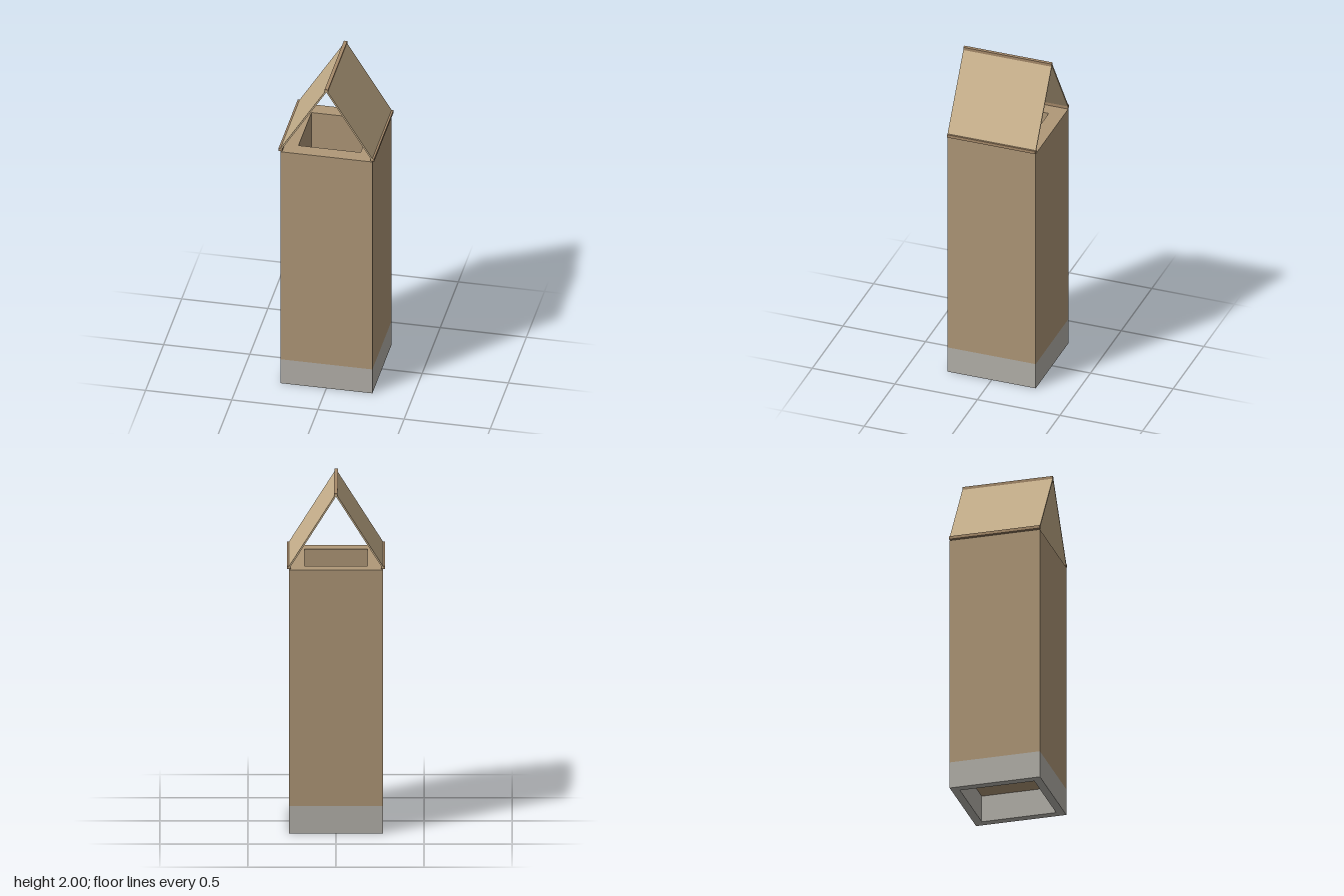
import * as THREE from 'three';

const HALF = 0.267, DEPTH = HALF * 2;
const BASE_TOP = 0.16, BODY_TOP = 1.55, EAVE_Y = 1.563, RIDGE_Y = 1.99;

const paint = (color) => new THREE.MeshStandardMaterial({ color });

function addMesh(parent, name, geometry, material, x = 0, y = 0, z = 0) {
  const mesh = new THREE.Mesh(geometry, material);
  mesh.name = name;
  mesh.position.set(x, y, z);
  parent.add(mesh);
  return mesh;
}

function square(target, h) {
  target.moveTo(-h, -h).lineTo(h, -h).lineTo(h, h).lineTo(-h, h).closePath();
  return target;
}

// Upright square tube standing on its own y = 0
function squareTube(outer, inner, height) {
  const shape = square(new THREE.Shape(), outer);
  shape.holes.push(square(new THREE.Path(), inner));
  return new THREE.ExtrudeGeometry(shape, { depth: height, bevelEnabled: false }).rotateX(-Math.PI / 2);
}

export function createModel() {
  const group = new THREE.Group();
  const stone = paint(0xb5b2ab), clay = paint(0xb09878);
  const panel = paint(0xc6af8b), trim = paint(0xa68a6a);

  // Hollow plinth, then the shaft: a closed floor and thick walls
  const floor = 0.09;
  addMesh(group, 'base', squareTube(HALF, 0.22, BASE_TOP), stone);
  addMesh(group, 'shaftFloor', new THREE.BoxGeometry(DEPTH, floor, DEPTH), clay, 0, BASE_TOP + floor / 2);
  addMesh(group, 'shaftWalls', squareTube(HALF, 0.18, BODY_TOP - BASE_TOP - floor), clay, 0, BASE_TOP + floor);

  // Open gabled cap: two thin leaning panels with eave rods
  const rise = RIDGE_Y - EAVE_Y;
  const slope = Math.hypot(HALF, rise);
  for (const [side, s] of [['left', 1], ['right', -1]]) {
    const roof = addMesh(group, side + 'RoofPanel', new THREE.BoxGeometry(0.009, slope, DEPTH),
      panel, s * HALF / 2, (RIDGE_Y + EAVE_Y) / 2);
    roof.rotation.z = s * Math.atan2(HALF, rise);
    addMesh(group, side + 'EaveRod', new THREE.BoxGeometry(0.021, 0.018, DEPTH), trim, s * HALF, EAVE_Y);
  }
  addMesh(group, 'ridgeRod', new THREE.BoxGeometry(0.02, 0.02, DEPTH), trim, 0, RIDGE_Y);

  return group;
}
